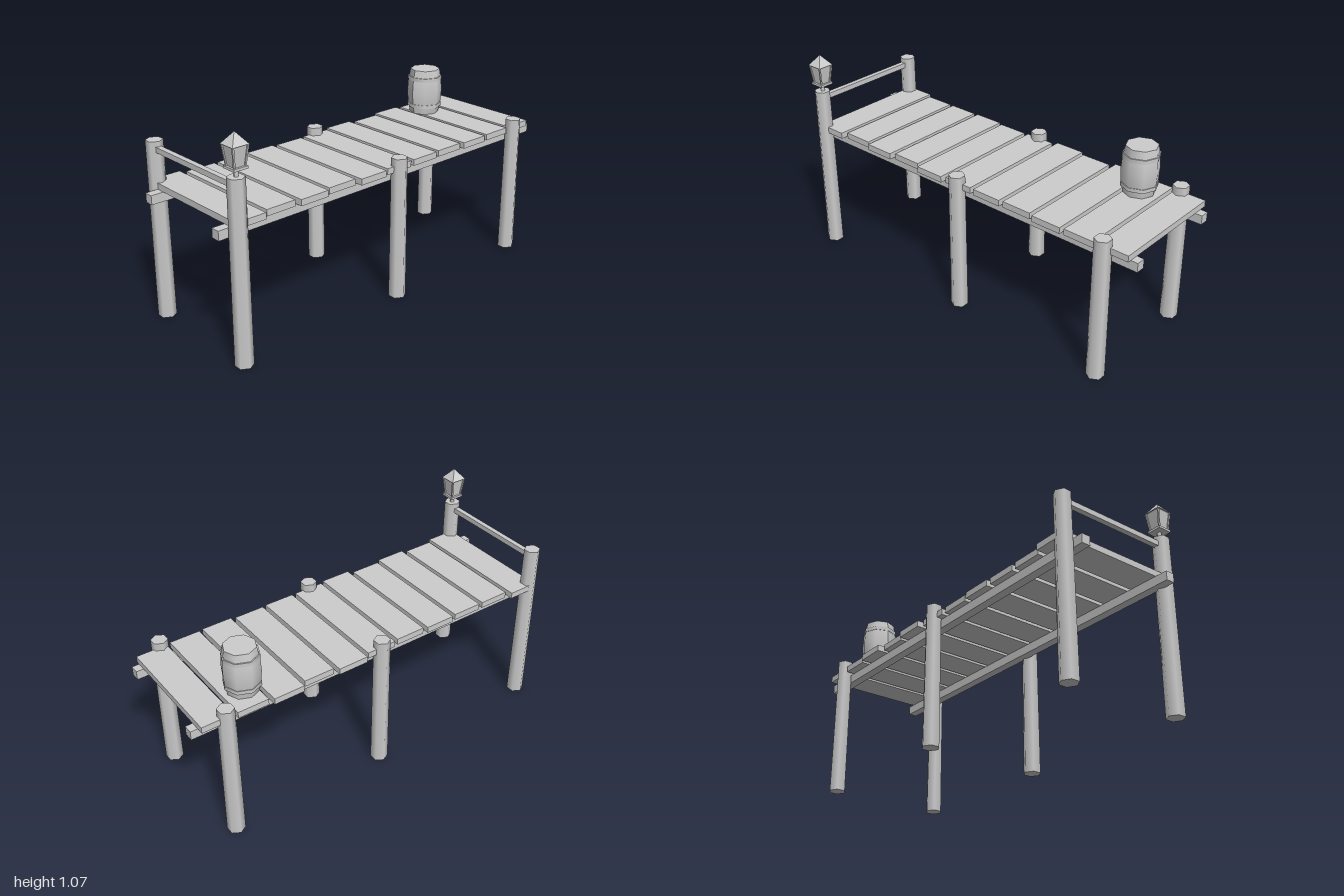
import * as THREE from 'three';

const wood = new THREE.MeshStandardMaterial({ color: 0xcccccc });
wood.name = 'paleGrey';

export function createModel() {
  const model = new THREE.Group();
  model.name = 'pier';

  const add = (name, geometry, x, y, z, parent = model) => {
    const mesh = new THREE.Mesh(geometry, wood);
    mesh.name = name;
    mesh.position.set(x, y, z);
    parent.add(mesh);
    return mesh;
  };
  const box = (name, w, h, d, x, y, z, parent) =>
    add(name, new THREE.BoxGeometry(w, h, d), x, y, z, parent);

  // Square frustum with flat faces, given by half widths
  const frustum = (top, bottom, height) => {
    const g = new THREE.CylinderGeometry(top * Math.SQRT2, bottom * Math.SQRT2, height, 4);
    g.rotateY(Math.PI / 4);
    const flat = g.toNonIndexed();
    flat.computeVertexNormals();
    return flat;
  };

  // Six-sided posts, the front pair taller to carry the rail
  for (const [z, h] of [[0.92, 0.875], [-0.01, 0.72], [-0.84, 0.72]]) {
    for (const side of [-1, 1]) {
      const post = new THREE.CylinderGeometry(0.04, 0.043, h, 6);
      post.rotateY(Math.PI / 6);
      add(side > 0 ? 'leftPost' : 'rightPost', post, side * 0.301, h / 2, z);
    }
  }

  // Long beams under the deck
  for (const side of [-1, 1]) box('beam', 0.045, 0.045, 2, side * 0.251, 0.6275, 0);

  // Deck planks with uneven ends, from back to front
  const ends = [
    [-0.31, 0.293], [-0.315, 0.3], [-0.33, 0.305], [-0.305, 0.295], [-0.325, 0.3], [-0.305, 0.3],
    [-0.3, 0.312], [-0.31, 0.29], [-0.305, 0.307], [-0.305, 0.29], [-0.33, 0.312],
  ];
  ends.forEach(([a, b], i) =>
    box('plank', b - a, 0.031, 0.155, (a + b) / 2, 0.665, -0.887 + i * 0.1747));

  // Front rail
  box('rail', 0.56, 0.026, 0.026, 0, 0.837, 0.921);

  // Barrel: eight sides, bulging in the middle
  const barrel = new THREE.Group();
  barrel.name = 'barrel';
  barrel.position.set(-0.187, 0.68, -0.689);
  model.add(barrel);
  const height = 0.237;
  const body = new THREE.CylinderGeometry(1, 1, height, 8, 4);
  const p = body.attributes.position;
  for (let i = 0; i < p.count; i++) {
    const t = (2 * p.getY(i)) / height;
    const r = 0.091 - 0.015 * t * t;
    p.setX(i, p.getX(i) * r);
    p.setZ(i, p.getZ(i) * r);
  }
  body.computeVertexNormals();
  add('barrelBody', body, 0, height / 2, 0, barrel);
  for (const y of [0.043, 0.19]) {
    add('barrelHoop', new THREE.CylinderGeometry(0.089, 0.089, 0.019, 8), 0, y, 0, barrel);
  }

  // Lantern on the front left post
  const lantern = new THREE.Group();
  lantern.name = 'lantern';
  lantern.position.set(0.3, 0.875, 0.917);
  model.add(lantern);
  add('lanternStem', new THREE.CylinderGeometry(0.01, 0.01, 0.04, 8), 0, 0.018, 0, lantern);
  box('lanternBase', 0.072, 0.012, 0.072, 0, 0.041, 0, lantern);
  add('lanternPanes', frustum(0.036, 0.025, 0.096), 0, 0.092, 0, lantern);
  add('lanternRoof', frustum(0, 0.042, 0.053), 0, 0.1655, 0, lantern);

  // Corner struts leaning outward toward the roof
  for (const sx of [-1, 1]) {
    for (const sz of [-1, 1]) {
      const strut = new THREE.BoxGeometry(0.008, 0.094, 0.008);
      const v = strut.attributes.position;
      for (let i = 0; i < v.count; i++) {
        const lean = v.getY(i) * 0.11;
        v.setX(i, v.getX(i) + sx * lean);
        v.setZ(i, v.getZ(i) + sz * lean);
      }
      strut.computeVertexNormals();
      add('lanternStrut', strut, sx * 0.032, 0.092, sz * 0.032, lantern);
    }
  }

  return model;
}
